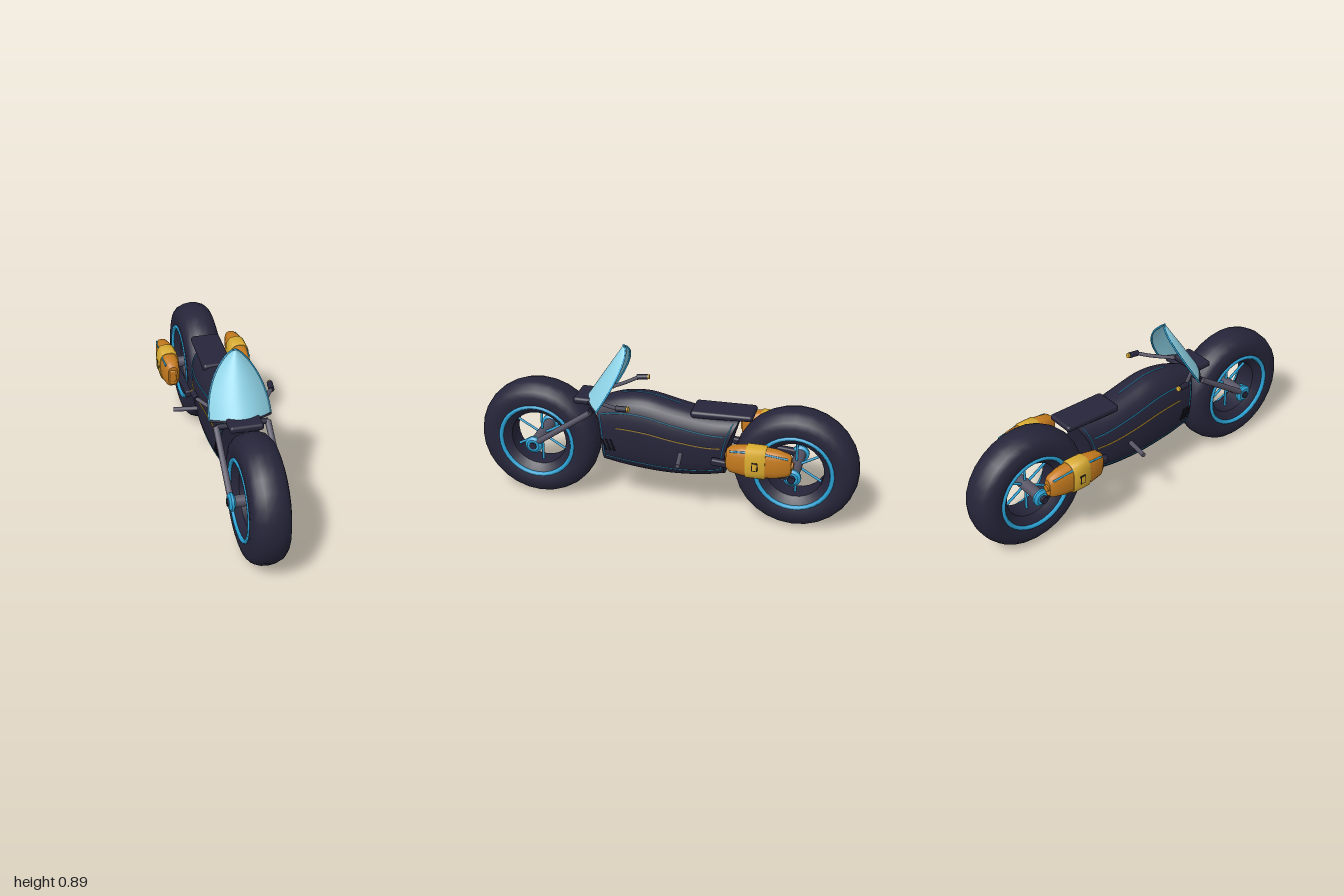
import * as THREE from 'three';
import { toCreasedNormals } from 'three/addons/utils/BufferGeometryUtils.js';
import { RoundedBoxGeometry } from 'three/addons/geometries/RoundedBoxGeometry.js';

const V = (x, y, z) => new THREE.Vector3(x, y, z);

export function createModel() {
  const root = new THREE.Group();
  const paint = (name, color, extra = {}) => Object.assign(new THREE.MeshStandardMaterial({ color, ...extra }), { name });
  const dark = paint('dark', 0x26253a);
  const black = paint('black', 0x14131c);
  const blue = paint('blue', 0x2aa3d6);
  const grey = paint('grey', 0x565364);
  const orange = paint('orange', 0xc47a1e);
  const yellow = paint('yellow', 0xd9ab30);
  const glass = paint('paleBlue', 0x8fd4e8, { side: THREE.DoubleSide });

  const add = (name, geo, mat, x = 0, y = 0, z = 0, parent = root) => {
    const m = new THREE.Mesh(geo, mat);
    m.name = name;
    m.position.set(x, y, z);
    parent.add(m);
    return m;
  };
  const rod = (name, a, b, r, mat, parent = root, sides = 12) => {
    const m = add(name, new THREE.CylinderGeometry(r, r, a.distanceTo(b), sides), mat, 0, 0, 0, parent);
    m.position.copy(a).lerp(b, 0.5);
    m.quaternion.setFromUnitVectors(V(0, 1, 0), b.clone().sub(a).normalize());
    return m;
  };
  const tube = (name, pts, r, mat) =>
    add(name, new THREE.TubeGeometry(new THREE.CatmullRomCurve3(pts), 32, r, 6), mat);

  // Skin over rings ordered from back to front, each anticlockwise seen from +z
  const loft = (rings) => {
    const pos = [], n = rings[0].length;
    const tri = (...p) => p.forEach((q) => pos.push(q.x, q.y, q.z));
    const centre = (ring) => ring.reduce((s, p) => s.add(p), V(0, 0, 0)).divideScalar(n);
    const last = rings[rings.length - 1], c0 = centre(rings[0]), c1 = centre(last);
    for (let j = 0; j < n; j++) {
      const k = (j + 1) % n;
      for (let i = 0; i < rings.length - 1; i++) {
        const [a, b, c, d] = [rings[i][j], rings[i][k], rings[i + 1][k], rings[i + 1][j]];
        tri(a, b, d);
        tri(b, c, d);
      }
      tri(c0, rings[0][k], rings[0][j]);
      tri(c1, last[j], last[k]);
    }
    const g = new THREE.BufferGeometry();
    g.setAttribute('position', new THREE.Float32BufferAttribute(pos, 3));
    return toCreasedNormals(g, 0.7);
  };
  const power = (v, e) => Math.sign(v) * Math.abs(v) ** e;

  // Wheels
  const lathe = (pts, seg) => new THREE.LatheGeometry(pts.map((p) => new THREE.Vector2(...p)), seg).rotateZ(-Math.PI / 2);
  const tyreGeo = toCreasedNormals(lathe([[0.15, -0.055], [0.185, -0.085], [0.212, -0.096], [0.25, -0.098], [0.282, -0.088],
    [0.306, -0.066], [0.318, -0.035], [0.322, 0], [0.318, 0.035], [0.306, 0.066], [0.282, 0.088],
    [0.25, 0.098], [0.212, 0.096], [0.185, 0.085], [0.15, 0.055], [0.15, -0.055]], 28), 0.7);
  const capGeo = toCreasedNormals(lathe([[0, -0.016], [0.032, -0.016], [0.046, -0.006], [0.046, 0.006], [0.032, 0.016], [0, 0.016]], 16), 0.4);
  for (const z of [0.68, -0.68]) {
    const wheel = new THREE.Group();
    wheel.name = z > 0 ? 'frontWheel' : 'rearWheel';
    wheel.position.set(0, 0.325, z);
    root.add(wheel);
    add('tyre', tyreGeo, dark, 0, 0, 0, wheel);
    rod('axle', V(-0.12, 0, 0), V(0.12, 0, 0), 0.03, grey, wheel, 16);
    for (let i = 0; i < 6; i++) {
      const a = Math.PI / 2 + i * Math.PI / 3, c = Math.cos(a), s = Math.sin(a);
      rod('spoke', V(0, s * 0.025, c * 0.025), V(0, s * 0.155, c * 0.155), 0.007, blue, wheel, 6);
    }
    for (const s of [1, -1]) {
      const ring = add('rimRing', new THREE.TorusGeometry(0.197, 0.012, 6, 32), blue, s * 0.09, 0, 0, wheel);
      ring.rotation.y = Math.PI / 2;
      add('hubCap', capGeo, blue, s * 0.13, 0, 0, wheel);
      rod('axleNut', V(s * 0.14, 0, 0), V(s * (z > 0 ? 0.152 : 0.164), 0, 0), 0.02, dark, wheel, 8);
    }
  }

  // Body shell: u runs back to front, t from belly to spine
  const curve = (pts) => new THREE.CatmullRomCurve3(pts.map(([z, y, x = 0]) => V(x, y, z)));
  const spine = curve([[-0.39, 0.565], [-0.24, 0.572], [-0.06, 0.605], [0.1, 0.637], [0.23, 0.625], [0.36, 0.58]]);
  const belly = curve([[-0.32, 0.245], [-0.19, 0.222], [0, 0.21], [0.19, 0.222], [0.32, 0.24]]);
  const halfWidth = (u) => 0.1 + 0.024 * Math.sin(Math.PI * u);
  const at = (u, t, side) => {
    const a = belly.getPoint(u), b = spine.getPoint(u);
    const x = (1 - Math.abs(2 * t - 1) ** 2.6) ** (1 / 2.6);
    return V(side * halfWidth(u) * x, a.y + (b.y - a.y) * t, a.z + (b.z - a.z) * t ** 2.5);
  };
  const rings = [];
  for (let i = 0; i <= 24; i++) {
    const ring = [];
    for (let j = 0; j < 36; j++) {
      const a = (j / 36) * Math.PI * 2;
      ring.push(at(i / 24, 0.5 + 0.5 * power(Math.sin(a), 0.77), Math.cos(a) >= 0 ? 1 : -1));
    }
    rings.push(ring);
  }
  add('body', loft(rings), dark);

  // Trim lines following the shell
  const trim = (name, mat, r, u0, u1, t0, t1, s) =>
    tube(name, Array.from({ length: 17 }, (_, i) => at(u0 + (u1 - u0) * i / 16, t0 + (t1 - t0) * i / 16, s)), r, mat);
  for (const s of [1, -1]) {
    trim('upperTrim', blue, 0.0035, 0.06, 0.97, 0.75, 0.83, s);
    trim('middleTrim', yellow, 0.0035, 0.06, 0.83, 0.55, 0.61, s);
    trim('lowerTrim', blue, 0.0025, 0.04, 0.97, 0.15, 0.15, s);
    trim('frontSeam', blue, 0.0025, 0.98, 0.98, 0.15, 0.83, s);
    trim('rearSeam', blue, 0.0025, 0.03, 0.03, 0.15, 0.95, s);
    for (let i = 0; i < 3; i++) {
      const p = at(0.97 - i * 0.045, 0.36, s);
      add('vent', new THREE.BoxGeometry(0.008, 0.065, 0.01), black, p.x, p.y, p.z).rotation.x = 0.35;
    }
  }
  trim('spineTrim', blue, 0.003, 0.38, 0.8, 1, 1, 1);

  // Seat, wedge-shaped towards its tail
  const seat = new RoundedBoxGeometry(0.17, 0.036, 0.32, 4, 0.016);
  const sp = seat.attributes.position;
  for (let i = 0; i < sp.count; i++) {
    const k = sp.getZ(i) / 0.16;
    sp.setX(i, sp.getX(i) * (1 - 0.14 * Math.abs(k) ** 4));
    sp.setY(i, sp.getY(i) * (1 + 0.15 * k) - 0.006 * k);
  }
  add('seat', seat, dark, 0, 0.583, -0.3);
  add('frontFender', new RoundedBoxGeometry(0.17, 0.036, 0.11, 3, 0.015), dark, 0, 0.583, 0.42);

  // Windscreen, bowed backwards at its sides
  const screenAt = (t, s) => {
    const w = 0.155 * Math.max(0, 1 - s * s) ** 0.77;
    const bow = t * t * (w / 0.155) ** 0.6;
    return V(w * t, 0.595 + 0.292 * s - 0.03 * bow, 0.415 - 0.19 * s - 0.085 * bow);
  };
  const screen = new THREE.PlaneGeometry(2, 1, 16, 20);
  const wp = screen.attributes.position;
  for (let i = 0; i < wp.count; i++) {
    const p = screenAt(wp.getX(i), Math.sin((wp.getY(i) + 0.5) * Math.PI / 2));
    wp.setXYZ(i, p.x, p.y, p.z);
  }
  screen.computeVertexNormals();
  add('windscreen', screen, glass);
  const arch = Array.from({ length: 33 }, (_, i) => {
    const a = (i / 32) * Math.PI;
    return screenAt(a < Math.PI / 2 ? 1 : -1, Math.sin(a));
  });
  tube('screenRim', arch, 0.005, blue);
  tube('screenBase', [-1, -0.5, 0, 0.5, 1].map((t) => screenAt(t, 0)), 0.006, dark);
  rod('forkBridge', V(-0.13, 0.55, 0.37), V(0.13, 0.55, 0.37), 0.015, dark);

  // Saddle pods
  const podRing = (z, w, h) => Array.from({ length: 20 }, (_, j) => {
    const a = (j / 20) * Math.PI * 2;
    return V(w * power(Math.cos(a), 0.7), h * power(Math.sin(a), 0.7), z);
  });
  const podGeo = loft([[-0.165, 0.022, 0.045], [-0.15, 0.033, 0.059], [-0.09, 0.044, 0.075], [0, 0.05, 0.083],
    [0.08, 0.048, 0.08], [0.14, 0.04, 0.07], [0.16, 0.026, 0.052]].map((r) => podRing(...r)));
  const bandGeo = loft([[-0.04, 0.051, 0.083], [-0.035, 0.054, 0.087], [0.055, 0.055, 0.087], [0.06, 0.052, 0.084]].map((r) => podRing(...r)));

  for (const s of [1, -1]) {
    const pod = new THREE.Group();
    pod.name = s > 0 ? 'leftPod' : 'rightPod';
    pod.position.set(s * 0.195, 0.428, -0.52);
    root.add(pod);
    add('podShell', podGeo, orange, 0, 0, 0, pod);
    add('podBand', bandGeo, yellow, 0, 0, 0, pod);
    add('podNose', new RoundedBoxGeometry(0.035, 0.068, 0.02, 3, 0.009), orange, 0, 0, 0.158, pod);
    rod('podTailCap', V(0, 0, -0.16), V(0, 0, -0.175), 0.018, orange, pod);
    add('buckle', new THREE.BoxGeometry(0.006, 0.045, 0.03), black, s * 0.054, -0.005, 0.01, pod);
    add('buckleFace', new THREE.BoxGeometry(0.008, 0.036, 0.021), yellow, s * 0.0545, -0.005, 0.01, pod);
    rod('podStripe', V(s * 0.037, 0.062, 0.05), V(s * 0.034, 0.055, 0.14), 0.005, blue, pod, 6);
    rod('podStripe', V(s * 0.038, 0.063, -0.03), V(s * 0.028, 0.046, -0.15), 0.005, blue, pod, 6);

    // Fork, swing arm and foot peg
    rod('forkLeg', V(s * 0.13, 0.325, 0.685), V(s * 0.13, 0.55, 0.37), 0.016, grey);
    const arm = add('swingArm', new RoundedBoxGeometry(0.034, 0.036, 0.4, 2, 0.01), dark, s * 0.13, 0.345, -0.465);
    arm.rotation.x = -0.08;
    rod('footPeg', V(s * 0.1, 0.37, -0.1), V(s * 0.243, 0.37, -0.12), 0.012, grey);

    // Handlebar
    tube('handlebar', [V(s * 0.07, 0.59, 0.36), V(s * 0.145, 0.608, 0.26), V(s * 0.192, 0.625, 0.2)], 0.011, grey);
    rod('grip', V(s * 0.19, 0.624, 0.21), V(s * 0.196, 0.629, 0.153), 0.015, dark);
    rod('gripEnd', V(s * 0.196, 0.629, 0.153), V(s * 0.197, 0.63, 0.144), 0.013, yellow);
  }
  return root;
}
